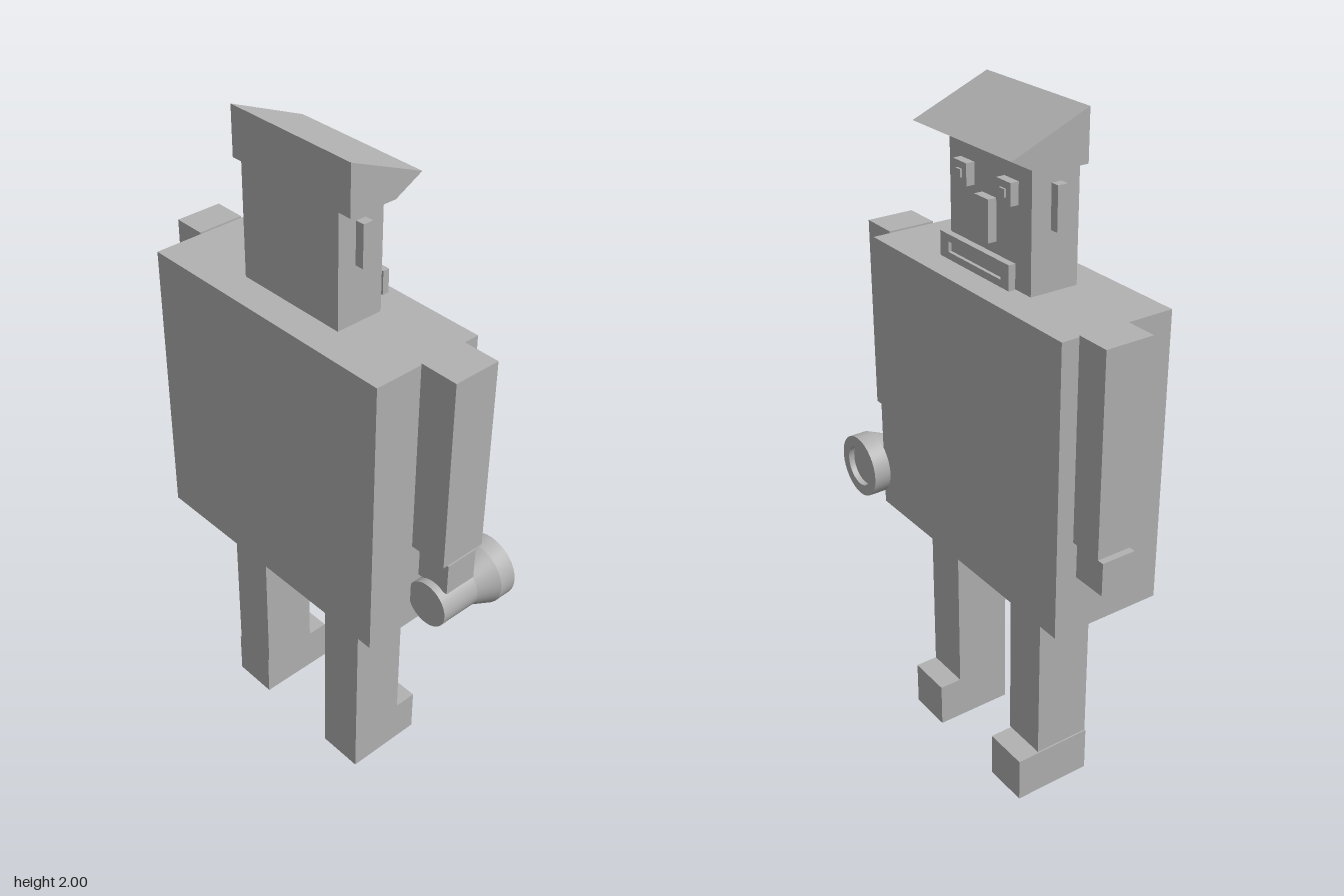
import * as THREE from 'three';
import { toCreasedNormals } from 'three/addons/utils/BufferGeometryUtils.js';

export function createModel() {
  const model = new THREE.Group();
  model.name = 'blockFigure';
  const grey = new THREE.MeshStandardMaterial({ color: 0xb2b2b2 });
  grey.name = 'grey';

  function add(name, geometry) {
    const mesh = new THREE.Mesh(geometry, grey);
    mesh.name = name;
    model.add(mesh);
    return mesh;
  }
  // Box given by its extents on each axis
  function box(name, [x0, x1], [y0, y1], [z0, z1]) {
    const mesh = add(name, new THREE.BoxGeometry(x1 - x0, y1 - y0, z1 - z0));
    mesh.position.set((x0 + x1) / 2, (y0 + y1) / 2, (z0 + z1) / 2);
  }

  // Torso and head; the face looks toward -z
  box('torso', [-0.455, 0.4], [0.683, 1.535], [-0.145, 0.195]);
  box('head', [-0.197, 0.16], [1.535, 1.86], [-0.045, 0.1]);

  // Arms and hands
  box('rightArm', [-0.555, -0.455], [0.963, 1.54], [-0.093, 0.05]);
  box('leftArm', [0.4, 0.515], [0.963, 1.54], [-0.093, 0.05]);
  box('rightHand', [-0.56, -0.455], [0.852, 0.95], [-0.08, 0.023]);
  box('leftHand', [0.405, 0.51], [0.852, 0.95], [-0.077, 0.025]);

  // Legs and feet
  for (const [side, x] of [['right', -0.222], ['left', 0.187]]) {
    const shift = side === 'right' ? -0.005 : 0;
    box(side + 'Leg', [x - 0.07, x + 0.07], [0.14, 0.683], [-0.07, 0.103]);
    box(side + 'Foot', [x - 0.07 + shift, x + 0.07 + shift], [0, 0.14], [-0.14, 0.103]);
  }

  // Peaked cap: side profile drawn as (-z, y), extruded across x
  const capShape = new THREE.Shape([[-0.1, 1.86], [0.045, 1.86], [0.13, 1.905], [-0.1, 2]]
    .map(([x, y]) => new THREE.Vector2(x, y)));
  const cap = new THREE.ExtrudeGeometry(capShape, { depth: 0.43, bevelEnabled: false });
  cap.rotateY(Math.PI / 2);
  cap.translate(-0.23, 0, 0);
  add('cap', cap);

  // Ears, eyes, pupils and nose
  box('rightEar', [-0.223, -0.197], [1.7, 1.82], [0.014, 0.044]);
  box('leftEar', [0.16, 0.186], [1.7, 1.82], [0.014, 0.044]);
  for (const x of [-0.113, 0.078]) {
    box('eye', [x - 0.03, x + 0.03], [1.76, 1.82], [-0.07, -0.045]);
    box('pupil', [x - 0.011, x + 0.011], [1.779, 1.801], [-0.076, -0.07]);
  }
  box('nose', [-0.048, 0.013], [1.637, 1.752], [-0.07, -0.045]);

  // Mouth: raised lip frame around a sunken plate
  const rect = (Type, x0, x1, y0, y1) => new Type([[x0, y0], [x1, y0], [x1, y1], [x0, y1]]
    .map(([x, y]) => new THREE.Vector2(x, y)));
  const lips = rect(THREE.Shape, -0.175, 0.133, 1.556, 1.625);
  lips.holes.push(rect(THREE.Path, -0.14, 0.095, 1.576, 1.605));
  const lipGeometry = new THREE.ExtrudeGeometry(lips, { depth: 0.02, bevelEnabled: false });
  lipGeometry.translate(0, 0, -0.097);
  add('lips', lipGeometry);
  box('mouth', [-0.14, 0.095], [1.576, 1.605], [-0.087, -0.077]);

  // Flashlight held in the left hand, pointing forward with a recessed lens
  const profile = [[0, -0.047], [0.068, -0.047], [0.068, 0.08], [0.095, 0.145],
    [0.095, 0.198], [0.062, 0.198], [0.062, 0.18], [0, 0.18]]
    .map(([r, y]) => new THREE.Vector2(r, y));
  const torch = toCreasedNormals(new THREE.LatheGeometry(profile, 32), 0.35);
  torch.rotateX(-Math.PI / 2);
  add('flashlight', torch).position.set(0.46, 0.795, 0);

  return model;
}
